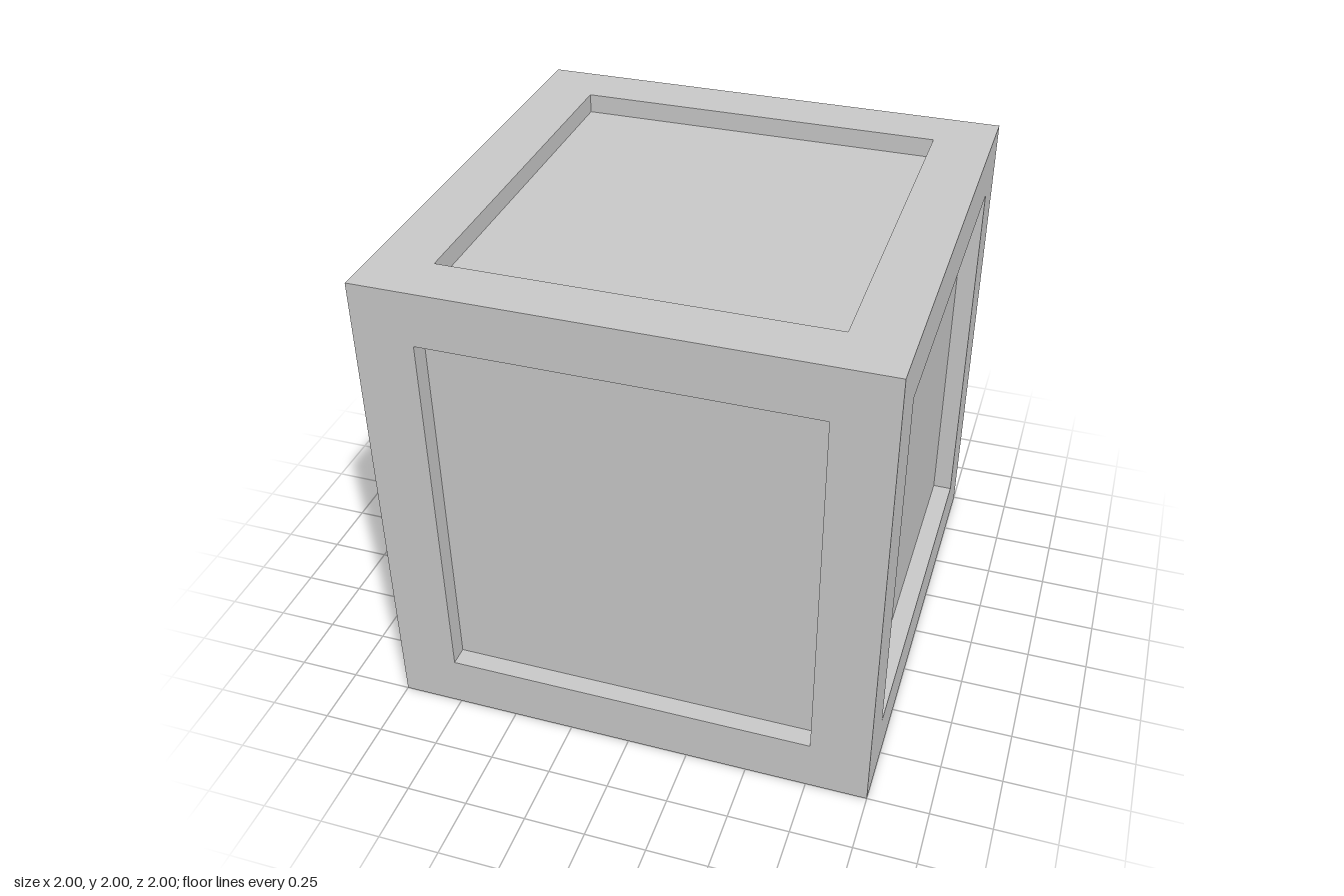
import * as THREE from 'three';
import { mergeGeometries } from 'three/addons/utils/BufferGeometryUtils.js';

const DEPTH = 0.08; // how far each panel sits behind the frame

// Square border, lying at z = 1, with the four inner walls of its recess
function frameSide(w, h) {
  const shape = new THREE.Shape([[-1, -1], [1, -1], [1, 1], [-1, 1]].map(([x, y]) => new THREE.Vector2(x, y)));
  shape.holes.push(new THREE.Path([[-w, -h], [-w, h], [w, h], [w, -h]].map(([x, y]) => new THREE.Vector2(x, y))));
  const parts = [new THREE.ShapeGeometry(shape).translate(0, 0, 1)];
  for (const s of [-1, 1]) {
    parts.push(new THREE.PlaneGeometry(DEPTH, 2 * h).rotateY(-s * Math.PI / 2).translate(s * w, 0, 1 - DEPTH / 2));
    parts.push(new THREE.PlaneGeometry(2 * w, DEPTH).rotateX(s * Math.PI / 2).translate(0, s * h, 1 - DEPTH / 2));
  }
  return mergeGeometries(parts);
}

export function createModel() {
  const group = new THREE.Group();
  group.name = 'crate';
  const material = new THREE.MeshStandardMaterial({ color: 0xcccccc, flatShading: true });
  const q = Math.PI / 2;

  // Each side: name, turn about x, turn about y, half width and half height of the recess
  const sides = [
    ['front', 0, 0, 0.76, 0.78],
    ['back', 0, 2 * q, 0.76, 0.78],
    ['left', 0, q, 0.78, 0.78],
    ['right', 0, -q, 0.78, 0.78],
    ['top', -q, 0, 0.76, 0.78],
    ['bottom', q, 0, 0.76, 0.78],
  ];

  const frameParts = [];
  for (const [name, rx, ry, w, h] of sides) {
    const place = (g) => g.rotateX(rx).rotateY(ry).translate(0, 1, 0);
    frameParts.push(place(frameSide(w, h)));

    // Recessed panel
    const panel = new THREE.Mesh(place(new THREE.PlaneGeometry(2 * w, 2 * h).translate(0, 0, 1 - DEPTH)), material);
    panel.name = name + 'Panel';
    group.add(panel);
  }

  // Raised frame along all edges of the crate
  const frame = new THREE.Mesh(mergeGeometries(frameParts), material);
  frame.name = 'frame';
  group.add(frame);
  return group;
}
